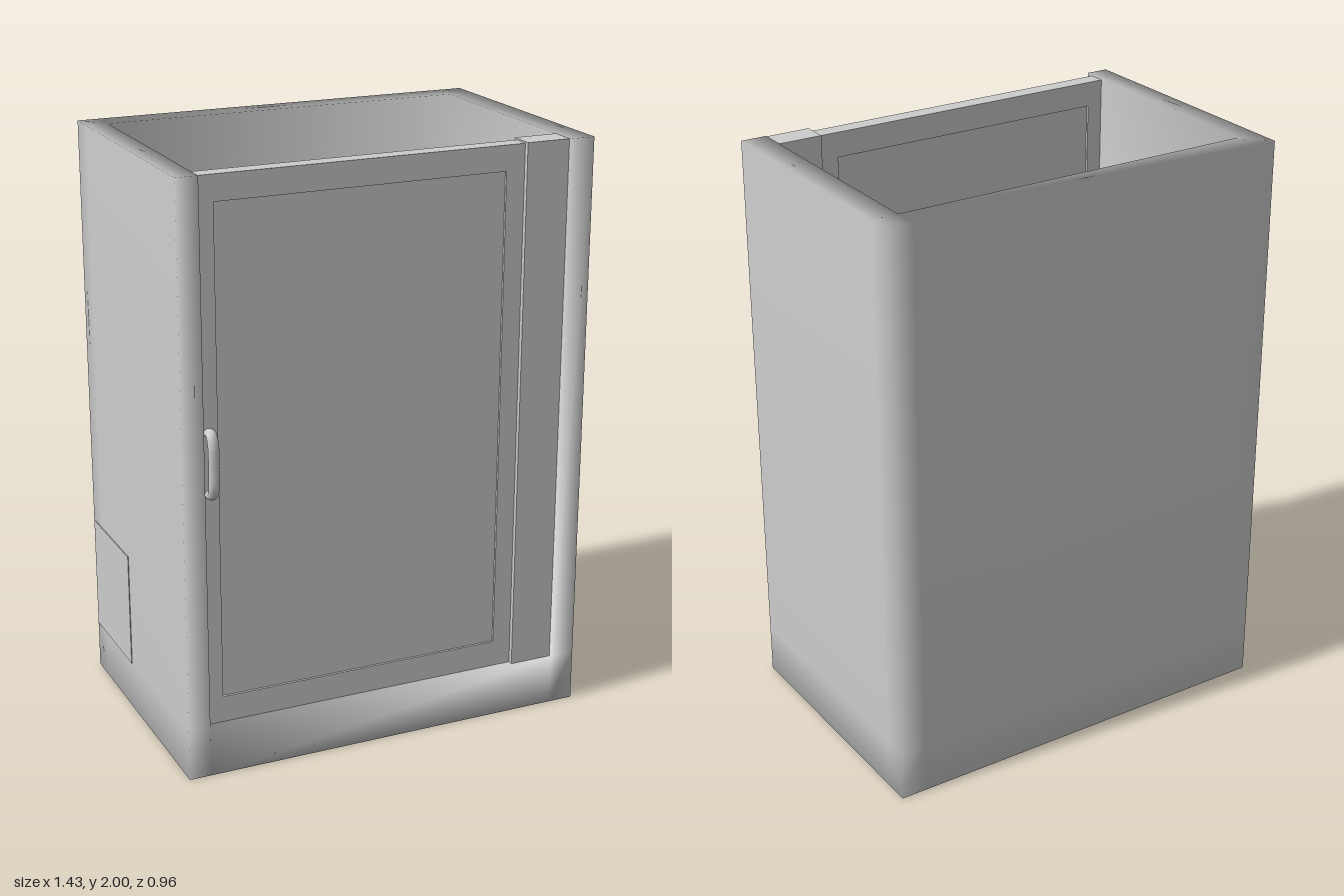
import * as THREE from 'three';
import { mergeVertices } from 'three/addons/utils/BufferGeometryUtils.js';

const mat = new THREE.MeshStandardMaterial({ color: 0xcccccc });

function add(parent, name, geometry, x = 0, y = 0, z = 0) {
  const mesh = new THREE.Mesh(geometry, mat);
  mesh.name = name;
  mesh.position.set(x, y, z);
  parent.add(mesh);
  return mesh;
}

// box given by its min and max corners
function span(parent, name, [x0, y0, z0], [x1, y1, z1]) {
  return add(parent, name, new THREE.BoxGeometry(x1 - x0, y1 - y0, z1 - z0),
    (x0 + x1) / 2, (y0 + y1) / 2, (z0 + z1) / 2);
}

// tray and three walls as one welded, smooth-shaded skin over a grid of solid cells
function shellGeometry() {
  const cuts = [[-0.715, -0.64, 0.627, 0.715], [0, 0.175, 2], [-0.48, -0.39, 0.45]];
  const solid = ([i, j, k]) => i >= 0 && i < 3 && j >= 0 && j < 2 && k >= 0 && k < 2
    && (i !== 1 || j === 0 || k === 0);
  const pos = [];
  for (let i = 0; i < 3; i++) for (let j = 0; j < 2; j++) for (let k = 0; k < 2; k++) {
    const cell = [i, j, k];
    if (!solid(cell)) continue;
    for (let a = 0; a < 3; a++) for (const side of [0, 1]) {
      const next = [...cell];
      next[a] += side ? 1 : -1;
      if (solid(next)) continue;
      const corner = (u, v) => {
        const c = [...cell];
        c[a] += side;
        c[(a + 1) % 3] += u;
        c[(a + 2) % 3] += v;
        return c.map((n, axis) => cuts[axis][n]);
      };
      const q = [corner(0, 0), corner(1, 0), corner(1, 1), corner(0, 1)];
      if (!side) q.reverse();
      for (const n of [0, 1, 2, 0, 2, 3]) pos.push(...q[n]);
    }
  }
  let g = new THREE.BufferGeometry();
  g.setAttribute('position', new THREE.Float32BufferAttribute(pos, 3));
  g = mergeVertices(g);
  g.computeVertexNormals();
  return g;
}

function rectPath(path, x0, y0, x1, y1) {
  path.moveTo(x0, y0);
  path.lineTo(x1, y0);
  path.lineTo(x1, y1);
  path.lineTo(x0, y1);
  path.closePath();
  return path;
}

const curve = (pts) => new THREE.CatmullRomCurve3(pts.map((p) => new THREE.Vector3(...p)));

export function createModel() {
  const model = new THREE.Group();
  model.name = 'showerCubicle';

  add(model, 'trayAndWalls', shellGeometry());

  // door: frame with a slightly recessed pane
  const door = new THREE.Group();
  door.name = 'door';
  model.add(door);
  const frame = rectPath(new THREE.Shape(), -0.643, 0.175, 0.476, 1.995);
  frame.holes.push(rectPath(new THREE.Path(), -0.585, 0.265, 0.41, 1.91));
  add(door, 'doorFrame', new THREE.ExtrudeGeometry(frame, { depth: 0.058, bevelEnabled: false }), 0, 0, 0.37);
  span(door, 'doorPane', [-0.59, 0.26, 0.378], [0.415, 1.915, 0.42]);
  span(model, 'doorJamb', [0.475, 0.17, 0.357], [0.626, 2, 0.445]);

  // door handle: bowed grip ending in the frame
  const grip = curve([[-0.615, 0.978, 0.42], [-0.615, 0.98, 0.448], [-0.615, 1.01, 0.463],
    [-0.615, 1.08, 0.466], [-0.615, 1.15, 0.463], [-0.615, 1.18, 0.448], [-0.615, 1.182, 0.42]]);
  const handle = add(door, 'doorHandle', new THREE.TubeGeometry(grip, 32, 0.015, 10));
  handle.scale.x = 1.25;
  handle.position.x = 0.154;

  // corner seat, running through the walls
  const seat = new THREE.Shape();
  seat.moveTo(-0.718, 0.47);
  seat.lineTo(-0.718, 0.107);
  seat.lineTo(-0.43, 0.173);
  seat.quadraticCurveTo(-0.412, 0.177, -0.408, 0.195);
  seat.lineTo(-0.355, 0.47);
  seat.closePath();
  const seatGeometry = new THREE.ExtrudeGeometry(seat, { depth: 0.4, bevelEnabled: false });
  seatGeometry.rotateX(-Math.PI / 2);
  add(model, 'cornerSeat', seatGeometry, 0, 0.17, 0);

  // wall shelf below the shower
  span(model, 'wallShelf', [0.565, 1, -0.173], [0.63, 1.1, 0.163]);

  // shower arm and tilted head
  const shower = new THREE.Group();
  shower.name = 'shower';
  model.add(shower);
  const arm = curve([[0.64, 1.87, 0], [0.57, 1.87, 0], [0.51, 1.855, 0], [0.455, 1.8, 0]]);
  add(shower, 'showerArm', new THREE.TubeGeometry(arm, 24, 0.018, 12));
  const profile = [[0, 0], [0.085, 0], [0.093, 0.008], [0.09, 0.02], [0.07, 0.045], [0.042, 0.068],
    [0.032, 0.08], [0.036, 0.092], [0.036, 0.106], [0.026, 0.118], [0, 0.118]];
  const head = add(shower, 'showerHead',
    new THREE.LatheGeometry(profile.map((p) => new THREE.Vector2(...p)), 28), 0.422, 1.705, 0);
  head.rotation.z = -0.38;

  return model;
}
